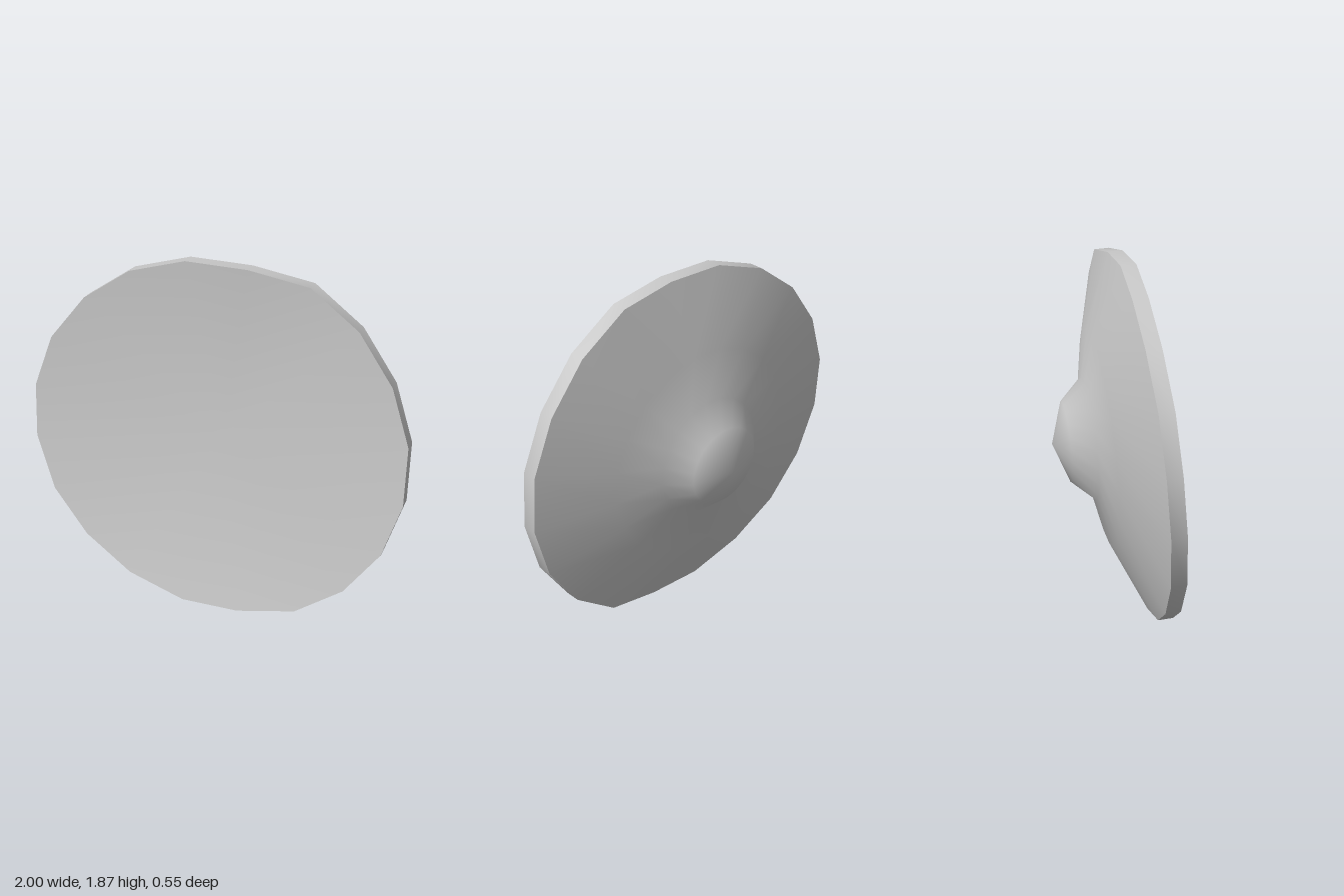
import * as THREE from 'three';

// Front edge of the slightly bent, twenty-sided disc, anticlockwise from the bottom
const RIM = [
  [0.17, 0.01, 0.277], [0.48, 0.07, 0.258], [0.73, 0.25, 0.247], [0.91, 0.5, 0.232], [1, 0.79, 0.212],
  [1, 1.1, 0.183], [0.9, 1.39, 0.157], [0.72, 1.64, 0.133], [0.47, 1.82, 0.113], [0.16, 1.87, 0.12],
  [-0.16, 1.87, 0.115], [-0.46, 1.775, 0.105], [-0.71, 1.6, 0.11], [-0.9, 1.36, 0.125], [-1, 1.08, 0.142],
  [-1, 0.79, 0.167], [-0.9, 0.5, 0.197], [-0.71, 0.265, 0.222], [-0.45, 0.095, 0.252], [-0.14, 0.005, 0.272],
];
const N = RIM.length;

// Round ring lying in the tilted plane of the disc
function tiltedRing(cx, cy, cz, r) {
  return RIM.map((_, i) => {
    const a = ((-81 + (i * 360) / N) * Math.PI) / 180;
    const dx = r * Math.cos(a), dy = r * Math.sin(a);
    return [cx + dx, cy + dy, cz + 0.035 * dx - 0.075 * dy];
  });
}

// Smooth skin over successive rings, optionally closed by a centre point
function skin(name, material, rings, tip) {
  const points = rings.flat();
  const index = [];
  for (let k = 0; k < rings.length - 1; k++) {
    for (let i = 0; i < N; i++) {
      const j = (i + 1) % N, a = k * N, b = a + N;
      index.push(a + i, b + i, a + j, b + i, b + j, a + j);
    }
  }
  if (tip) {
    const a = (rings.length - 1) * N, c = points.length;
    points.push(tip);
    for (let i = 0; i < N; i++) index.push(a + i, c, a + ((i + 1) % N));
  }
  const geometry = new THREE.BufferGeometry();
  geometry.setAttribute('position', new THREE.Float32BufferAttribute(points.flat(), 3));
  geometry.setIndex(index);
  geometry.computeVertexNormals();
  const mesh = new THREE.Mesh(geometry, material);
  mesh.name = name;
  return mesh;
}

export function createModel() {
  const group = new THREE.Group();
  group.name = 'disc';
  const grey = new THREE.MeshStandardMaterial({ color: 0xc7c7c7 });
  grey.name = 'grey';

  const backRim = RIM.map(([x, y, z]) => [x, Math.max(0, y - 0.005), z - 0.078]);

  // Hollow front face: its ring is reversed so the fan faces forward
  group.add(skin('frontFace', grey, [[...RIM].reverse()], [0.02, 0.93, 0.07]));

  // Narrow outer edge
  group.add(skin('rim', grey, [RIM, backRim]));

  // Sloping back rising into the central boss
  group.add(skin('backAndBoss', grey, [
    backRim,
    tiltedRing(0.035, 0.925, -0.035, 0.57),
    tiltedRing(0.035, 0.92, -0.09, 0.32),
    tiltedRing(0.04, 0.91, -0.203, 0.212),
  ], [0.05, 0.9, -0.275]));

  return group;
}
